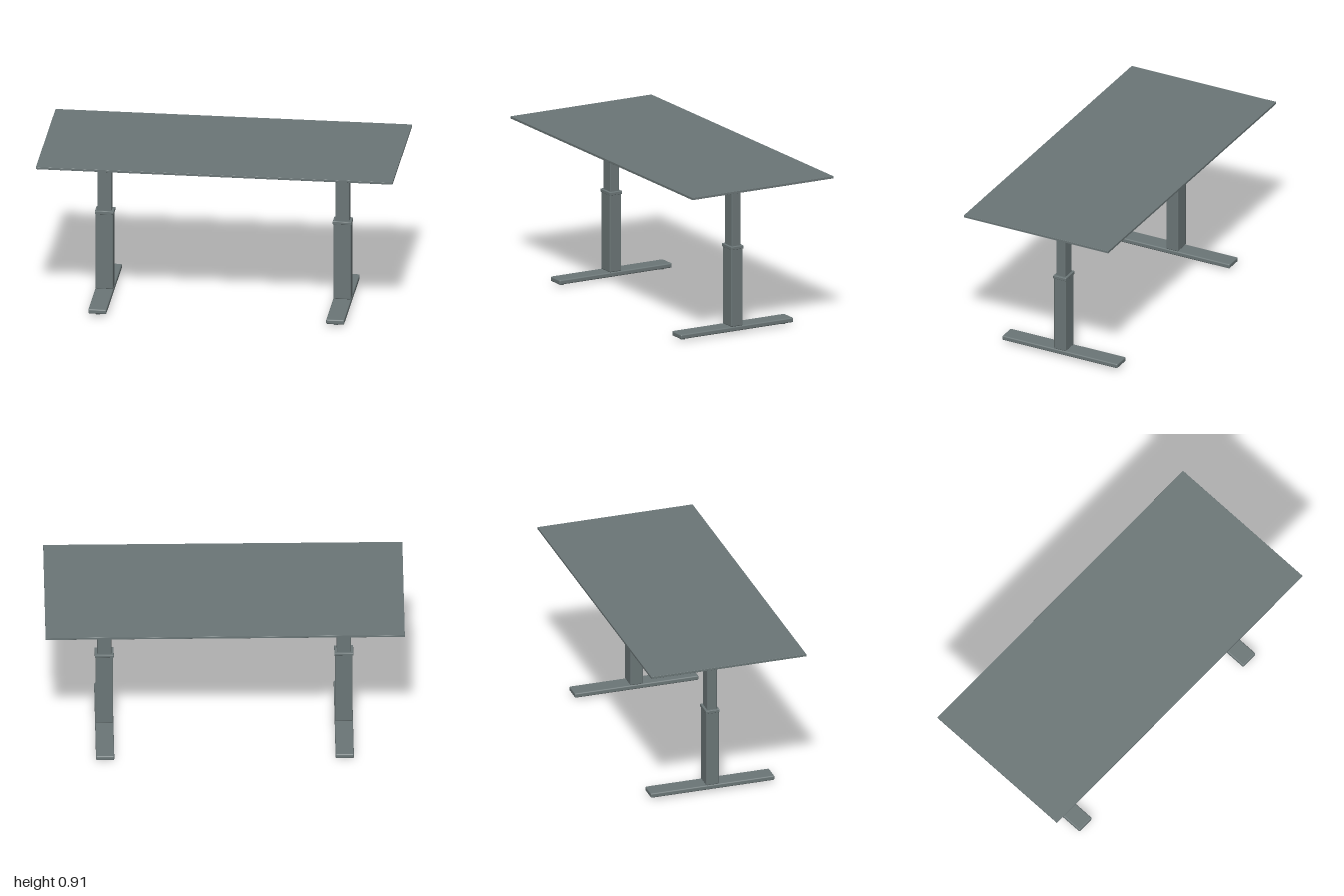
import * as THREE from 'three';
import { RoundedBoxGeometry } from 'three/addons/geometries/RoundedBoxGeometry.js';

export function createModel() {
  const model = new THREE.Group();
  model.name = 'standingDesk';
  const greyMetal = new THREE.MeshStandardMaterial({ color: 0x6b7677 });
  greyMetal.name = 'slateGrey';

  const add = (parent, name, geometry, x, y, z) => {
    const mesh = new THREE.Mesh(geometry, greyMetal);
    mesh.name = name;
    mesh.position.set(x, y, z);
    parent.add(mesh);
    return mesh;
  };
  // Box spanning y0..y1, with rounded edges when a radius is given
  const block = (parent, name, w, y0, y1, d, radius = 0, x = 0) => {
    const h = y1 - y0;
    const geometry = radius
      ? new RoundedBoxGeometry(w, h, d, 3, radius)
      : new THREE.BoxGeometry(w, h, d);
    return add(parent, name, geometry, x, (y0 + y1) / 2, 0);
  };

  // Desktop and the beam joining the legs
  block(model, 'tabletop', 2, 0.897, 0.91, 0.91, 0.001);
  block(model, 'crossBeam', 1.27, 0.857, 0.894, 0.042, 0.004);

  // Two telescopic legs
  for (const side of [-1, 1]) {
    const leg = new THREE.Group();
    leg.name = side > 0 ? 'leftLeg' : 'rightLeg';
    leg.position.x = side * 0.667;
    model.add(leg);

    block(leg, 'foot', 0.102, 0.013, 0.04, 0.726, 0.007);
    block(leg, 'lowerColumn', 0.098, 0.039, 0.49, 0.075, 0.006);
    block(leg, 'collar', 0.106, 0.484, 0.502, 0.081, 0.003);
    block(leg, 'upperColumn', 0.078, 0.48, 0.892, 0.057, 0.005);
    block(leg, 'mountingPlate', 0.17, 0.886, 0.892, 0.16, 0.002);
    block(leg, 'plateSpacer', 0.135, 0.891, 0.8975, 0.13);

    // Levelling pads under the foot
    for (const end of [-1, 1]) {
      add(leg, 'levellingPad', new THREE.CylinderGeometry(0.016, 0.014, 0.015, 24),
        0, 0.0075, end * 0.323);
    }
  }
  return model;
}
